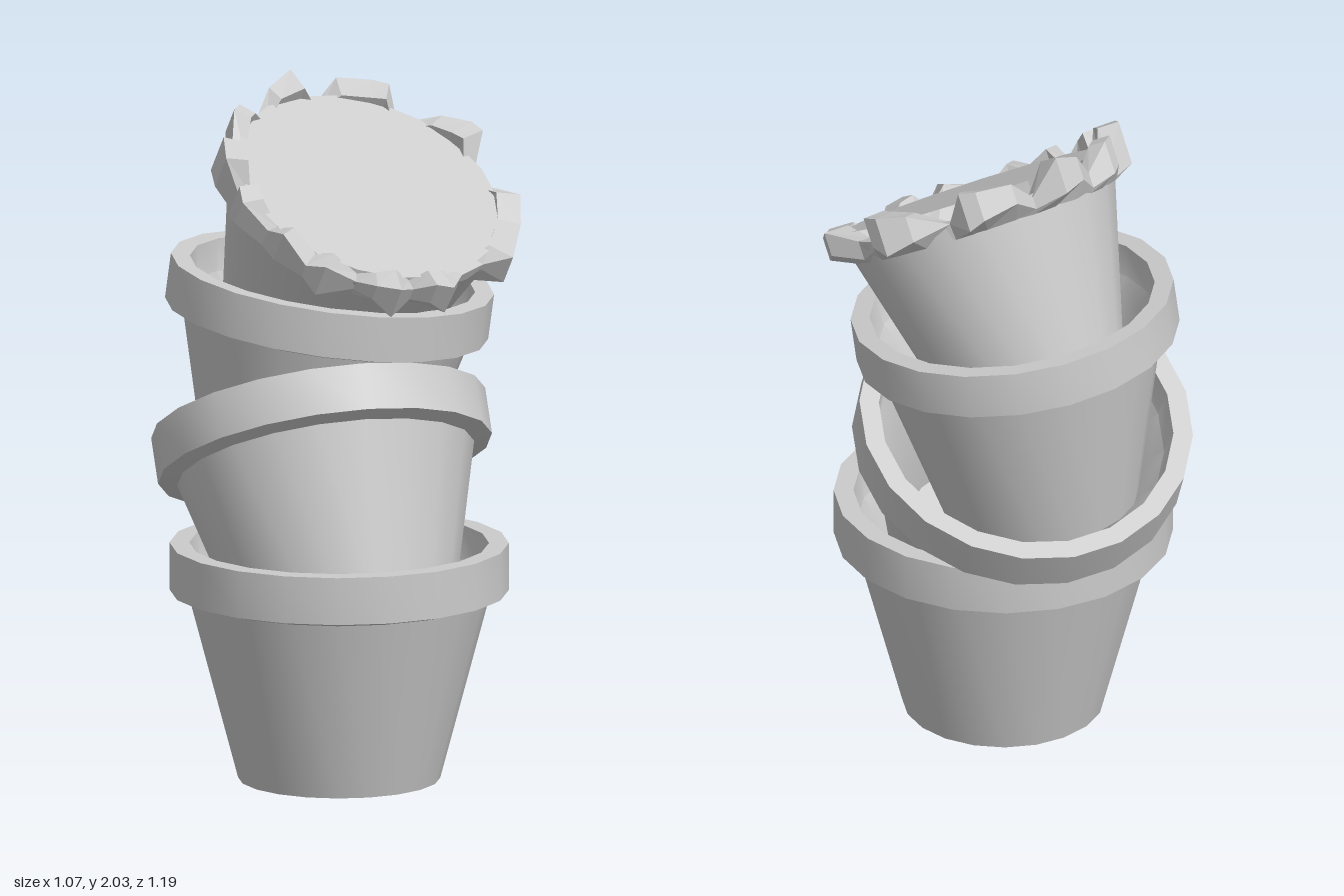
import * as THREE from 'three';
import { toCreasedNormals } from 'three/addons/utils/BufferGeometryUtils.js';

const SIDES = 20;
const grey = new THREE.MeshStandardMaterial({ color: 0xcccccc });
const greyDouble = new THREE.MeshStandardMaterial({ color: 0xcccccc, side: THREE.DoubleSide });
const greyFlat = new THREE.MeshStandardMaterial({ color: 0xcccccc, side: THREE.DoubleSide, flatShading: true });

function named(geometry, material, name) {
  const mesh = new THREE.Mesh(geometry, material);
  mesh.name = name;
  return mesh;
}

function lathe(profile) {
  const points = profile.map(([r, y]) => new THREE.Vector2(r, y));
  return toCreasedNormals(new THREE.LatheGeometry(points, SIDES), 0.5);
}

// Stand a part so that its mouth is centred on `top` and its axis follows `axis`
function place(part, top, axis, height) {
  const dir = new THREE.Vector3(...axis).normalize();
  part.quaternion.setFromUnitVectors(new THREE.Vector3(0, 1, 0), dir);
  part.position.set(...top).addScaledVector(dir, -height);
  return part;
}

// Whole pot: tapered wall, collar, stepped inside
const POT = [
  [0, 0], [0.295, 0], [0.44, 0.545], [0.495, 0.56], [0.495, 0.7],
  [0.437, 0.7], [0.425, 0.6], [0.39, 0.55], [0.26, 0.05], [0, 0.05],
];
function pot(name, top, axis, scale) {
  const mesh = named(lathe(POT), grey, name);
  mesh.scale.setScalar(scale);
  return place(mesh, top, axis, 0.7 * scale);
}

// Remains of the collar: [angle in degrees, outer radius, top height]
const SHARDS = [
  [0, 0.47, 0.02], [14, 0.465, 0.0], [36, 0.475, 0.01], [42, 0.41, -0.03], [56, 0.4, -0.03],
  [70, 0.47, 0.01], [77, 0.46, 0.02], [83, 0.42, -0.03], [92, 0.485, 0.02], [100, 0.46, 0.0],
  [107, 0.41, -0.04], [120, 0.475, 0.02], [127, 0.47, -0.01], [140, 0.45, 0.03], [150, 0.41, -0.03],
  [160, 0.47, 0.03], [166, 0.46, 0.05], [172, 0.42, -0.02], [180, 0.465, 0.06], [192, 0.46, 0.06],
  [200, 0.41, -0.03], [214, 0.45, 0.04], [220, 0.45, 0.03], [230, 0.41, -0.04], [240, 0.45, 0.02],
  [252, 0.48, 0.04], [262, 0.415, -0.05], [271, 0.475, 0.01], [284, 0.48, 0.02], [290, 0.47, 0.03],
  [298, 0.41, -0.05], [312, 0.46, 0.01], [322, 0.49, 0.03], [328, 0.48, 0.04], [338, 0.41, -0.04],
  [348, 0.41, -0.03],
];

function shardRing() {
  const position = [], index = [];
  const n = SHARDS.length;
  SHARDS.forEach(([deg, r, h], i) => {
    const a = THREE.MathUtils.degToRad(deg);
    const section = [
      [0.395, -0.1], [r, -0.05 - (i % 3) * 0.018], [r, h], [Math.min(0.395, r - 0.04), h],
    ];
    for (const [radius, y] of section) position.push(radius * Math.cos(a), y, radius * Math.sin(a));
    for (let j = 0; j < 4; j++) {
      const k = (j + 1) % 4, next = (i + 1) % n;
      const p = i * 4 + j, up = i * 4 + k, q = next * 4 + j, qUp = next * 4 + k;
      index.push(p, up, q, up, qUp, q);
    }
  });
  const geometry = new THREE.BufferGeometry();
  geometry.setAttribute('position', new THREE.Float32BufferAttribute(position, 3));
  geometry.setIndex(index);
  geometry.computeVertexNormals();
  return geometry;
}

// Broken pot: tapered wall, jagged edge and flat filling
function brokenPot(top, axis) {
  const group = new THREE.Group();
  group.name = 'brokenPot';
  const height = 0.53;
  const wall = named(lathe([[0, 0], [0.283, 0], [0.415, height - 0.04]]), greyDouble, 'brokenPotWall');
  const edge = named(shardRing(), greyFlat, 'jaggedEdge');
  edge.position.y = height;
  const fill = named(new THREE.CircleGeometry(0.405, SIDES).rotateX(-Math.PI / 2), greyDouble, 'filling');
  fill.position.y = height;
  group.add(wall, edge, fill);
  return place(group, top, axis, height);
}

export function createModel() {
  const model = new THREE.Group();
  model.name = 'stackedPots';
  model.add(
    pot('bottomPot', [-0.04, 0.7, 0.1], [0, 1, 0], 1),
    pot('secondPot', [-0.04, 1.045, -0.105], [0, 0.877, -0.48], 0.995),
    pot('thirdPot', [0.007, 1.455, -0.115], [0.113, 0.99, 0.07], 0.96),
    brokenPot([0.065, 1.745, 0.05], [0.18, 1, 0.57]),
  );
  return model;
}
